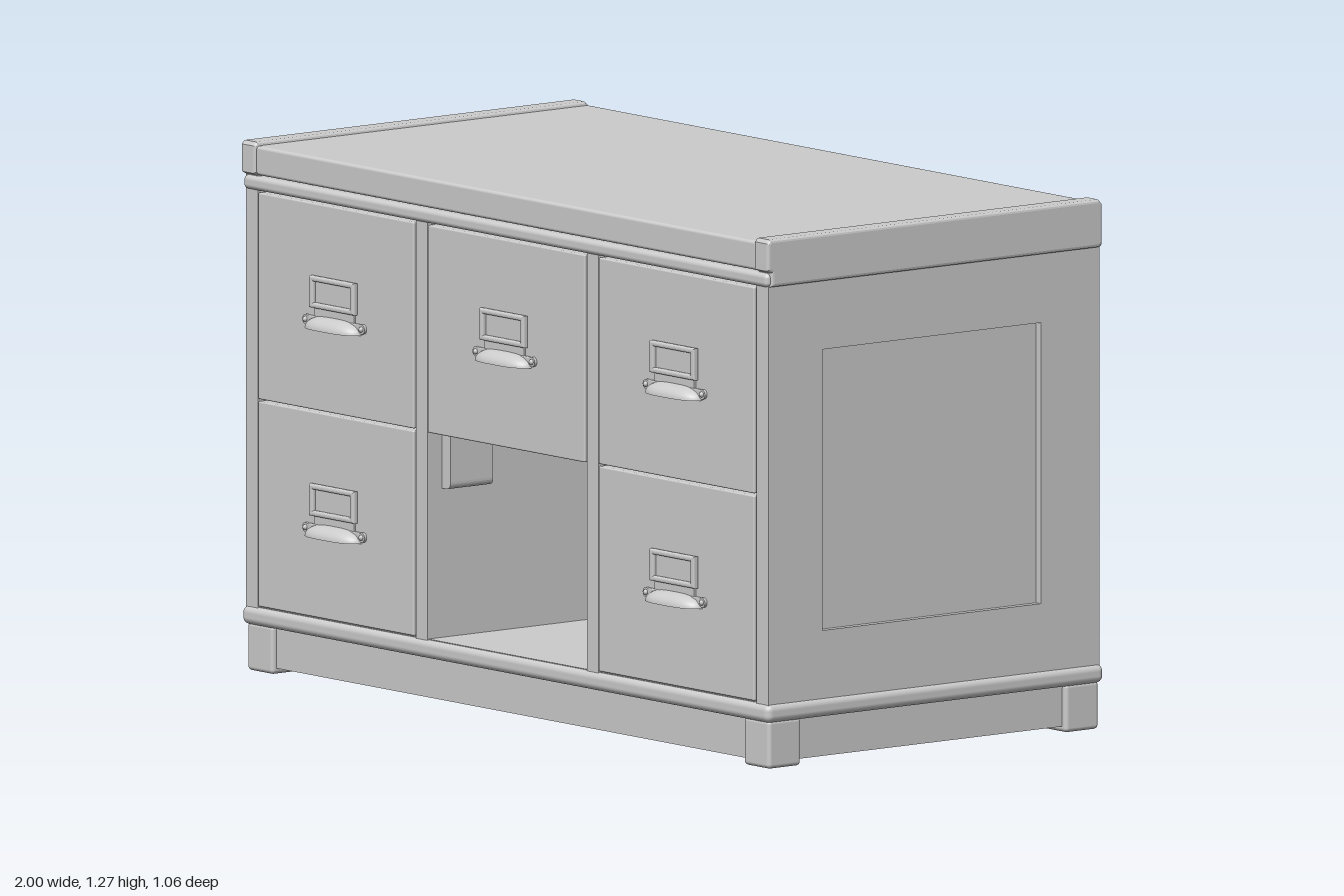
import * as THREE from 'three';
import { RoundedBoxGeometry } from 'three/addons/geometries/RoundedBoxGeometry.js';

const grey = new THREE.MeshStandardMaterial({ color: 0xcccccc });
grey.name = 'paintedGrey';
grey.side = THREE.DoubleSide;

function add(parent, name, geometry) {
  const mesh = new THREE.Mesh(geometry, grey);
  mesh.name = name;
  parent.add(mesh);
  return mesh;
}

// Box given by its limits, with optionally rounded edges
function box(parent, name, x0, x1, y0, y1, z0, z1, r = 0) {
  const [w, h, d] = [x1 - x0, y1 - y0, z1 - z0];
  const g = r ? new RoundedBoxGeometry(w, h, d, 3, r) : new THREE.BoxGeometry(w, h, d);
  g.translate((x0 + x1) / 2, (y0 + y1) / 2, (z0 + z1) / 2);
  return add(parent, name, g);
}

function outline(points, Type = THREE.Shape) {
  return new Type(points.map(([a, b]) => new THREE.Vector2(a, b)));
}
const rect = (a0, b0, a1, b1) => [[a0, b0], [a1, b0], [a1, b1], [a0, b1]];

// Extrudes a shape with a small bevel that stays inside its outline
function extrude(shape, depth, bevel) {
  const g = new THREE.ExtrudeGeometry(shape, {
    depth: depth - 2 * bevel, bevelEnabled: bevel > 0, bevelSize: bevel,
    bevelThickness: bevel, bevelOffset: -bevel, bevelSegments: 3, curveSegments: 6,
  });
  return g.translate(0, 0, bevel);
}

// Extrudes a (z, y) profile between two x positions
const profile = (shape, x0, x1, bevel = 0) =>
  extrude(shape, x1 - x0, bevel).rotateY(-Math.PI / 2).translate(x1, 0, 0);

// Label holder with a cup pull below it, origin at the centre of the label
function makeHandle() {
  const handle = new THREE.Group();
  handle.name = 'handle';

  const frame = outline(rect(-0.085, -0.037, 0.085, 0.04));
  frame.holes.push(outline(rect(-0.07, -0.024, 0.07, 0.027), THREE.Path));
  add(handle, 'labelFrame', extrude(frame, 0.016, 0.005));
  box(handle, 'labelCard', -0.072, 0.072, -0.026, 0.029, 0, 0.006);
  box(handle, 'pullPlate', -0.1, 0.1, -0.077, -0.057, 0, 0.008, 0.003);
  box(handle, 'plateNeck', -0.075, 0.075, -0.06, -0.035, 0, 0.006);

  for (const s of [-1, 1]) {
    const ear = new THREE.CylinderGeometry(0.012, 0.012, 0.008, 16);
    add(handle, 'pullEar', ear.rotateX(Math.PI / 2).translate(s * 0.106, -0.068, 0.004));
    const screw = new THREE.SphereGeometry(0.007, 12, 6);
    add(handle, 'screw', screw.translate(s * 0.106, -0.068, 0.008));
  }

  // Squared-off quarter dome, open below
  const cup = new THREE.SphereGeometry(1, 28, 10, 0, Math.PI, 0, Math.PI / 2);
  const p = cup.attributes.position;
  for (let i = 0; i < p.count; i++) {
    const x = p.getX(i);
    p.setX(i, Math.sign(x) * Math.pow(Math.abs(x), 0.6));
  }
  cup.scale(0.1, 0.03, 0.042);
  cup.computeVertexNormals();
  add(handle, 'cupPull', cup.translate(0, -0.084, 0));
  return handle;
}

export function createModel() {
  const model = new THREE.Group();
  model.name = 'deskCabinet';

  // Base: corner feet, aprons between them and a rounded moulding above
  for (const s of [-1, 1]) {
    const [x0, x1] = s > 0 ? [0.893, 0.99] : [-0.99, -0.893];
    box(model, 'frontFoot', x0, x1, 0, 0.116, 0.384, 0.483, 0.01);
    box(model, 'backFoot', x0, x1, 0, 0.116, -0.522, -0.421, 0.01);
    const [a0, a1] = s > 0 ? [0.95, 0.976] : [-0.976, -0.95];
    box(model, 'sideApron', a0, a1, 0.014, 0.116, -0.44, 0.4);
    const [m0, m1] = s > 0 ? [0.905, 1] : [-1, -0.905];
    box(model, 'sideMoulding', m0, m1, 0.111, 0.156, -0.532, 0.494, 0.017);
  }
  box(model, 'frontApron', -0.92, 0.92, 0.014, 0.116, 0.444, 0.47);
  box(model, 'backApron', -0.92, 0.92, 0.014, 0.116, -0.508, -0.482);
  box(model, 'frontMoulding', -1, 1, 0.111, 0.156, 0.4, 0.494, 0.017);
  box(model, 'backMoulding', -1, 1, 0.111, 0.156, -0.532, -0.438, 0.017);
  box(model, 'floorBoard', -0.96, 0.96, 0.141, 0.157, -0.51, 0.482);

  // Carcass: framed side walls with sunk panels, back and dividers
  const wall = outline(rect(-0.523, 0.15, 0.485, 1.165));
  wall.holes.push(outline(rect(-0.345, 0.318, 0.32, 0.993), THREE.Path));
  for (const s of [-1, 1]) {
    const [x0, x1] = s > 0 ? [0.945, 0.99] : [-0.99, -0.945];
    add(model, 'sideFrame', profile(wall, x0, x1));
    const [p0, p1] = s > 0 ? [0.95, 0.972] : [-0.972, -0.95];
    box(model, 'sidePanel', p0, p1, 0.31, 1.005, -0.36, 0.335);
    const [d0, d1] = s > 0 ? [0.303, 0.346] : [-0.346, -0.303];
    box(model, 'divider', d0, d1, 0.15, 1.165, -0.51, 0.485);
  }
  box(model, 'backPanel', -0.95, 0.95, 0.15, 1.165, -0.523, -0.5);

  // Corner brackets under the middle drawer, rounded at the free lower corner
  for (const s of [-1, 1]) {
    const b = new THREE.Shape();
    b.moveTo(s * 0.304, 0.67).lineTo(s * 0.304, 0.515).lineTo(s * 0.287, 0.515);
    b.quadraticCurveTo(s * 0.271, 0.515, s * 0.271, 0.533).lineTo(s * 0.271, 0.67);
    add(model, 'bracket', extrude(b, 0.13, 0).translate(0, 0, 0.31));
  }

  // Drawers: [centre x, half width, bottom, top, label height]
  const drawers = [[0, 0.298, 0.654, 1.153, 0.941]];
  for (const x of [-0.6455, 0.6455]) {
    drawers.push([x, 0.295, 0.657, 1.153, 0.941], [x, 0.295, 0.159, 0.652, 0.441]);
  }
  for (const [x, w, y0, y1, label] of drawers) {
    const drawer = new THREE.Group();
    drawer.name = 'drawer';
    box(drawer, 'drawerFront', x - w, x + w, y0, y1, 0.455, 0.489, 0.004);
    box(drawer, 'drawerBox', x - w, x + w, y0 + 0.004, y1, -0.49, 0.46);
    const handle = makeHandle();
    handle.position.set(x, label, 0.488);
    drawer.add(handle);
    model.add(drawer);
  }

  // Top: board, front strip, full-width back band and raised end rails
  box(model, 'topBoard', -0.95, 0.95, 1.158, 1.264, -0.515, 0.47);
  box(model, 'topBoardNose', -0.95, 0.95, 1.194, 1.264, 0.4, 0.489, 0.008);
  box(model, 'frontStrip', -0.994, 0.994, 1.157, 1.191, 0.44, 0.493, 0.012);
  box(model, 'backBand', -0.999, 0.999, 1.158, 1.264, -0.528, -0.48, 0.01);
  const rail = outline([[-0.515, 1.158], [0.482, 1.158], [0.482, 1.192], [0.494, 1.198],
    [0.494, 1.264], [0.486, 1.273], [-0.515, 1.273], [-0.526, 1.262], [-0.526, 1.167]]);
  for (const s of [-1, 1]) {
    const [x0, x1] = s > 0 ? [0.946, 1] : [-1, -0.946];
    add(model, 'endRail', profile(rail, x0, x1, 0.008));
  }
  return model;
}
